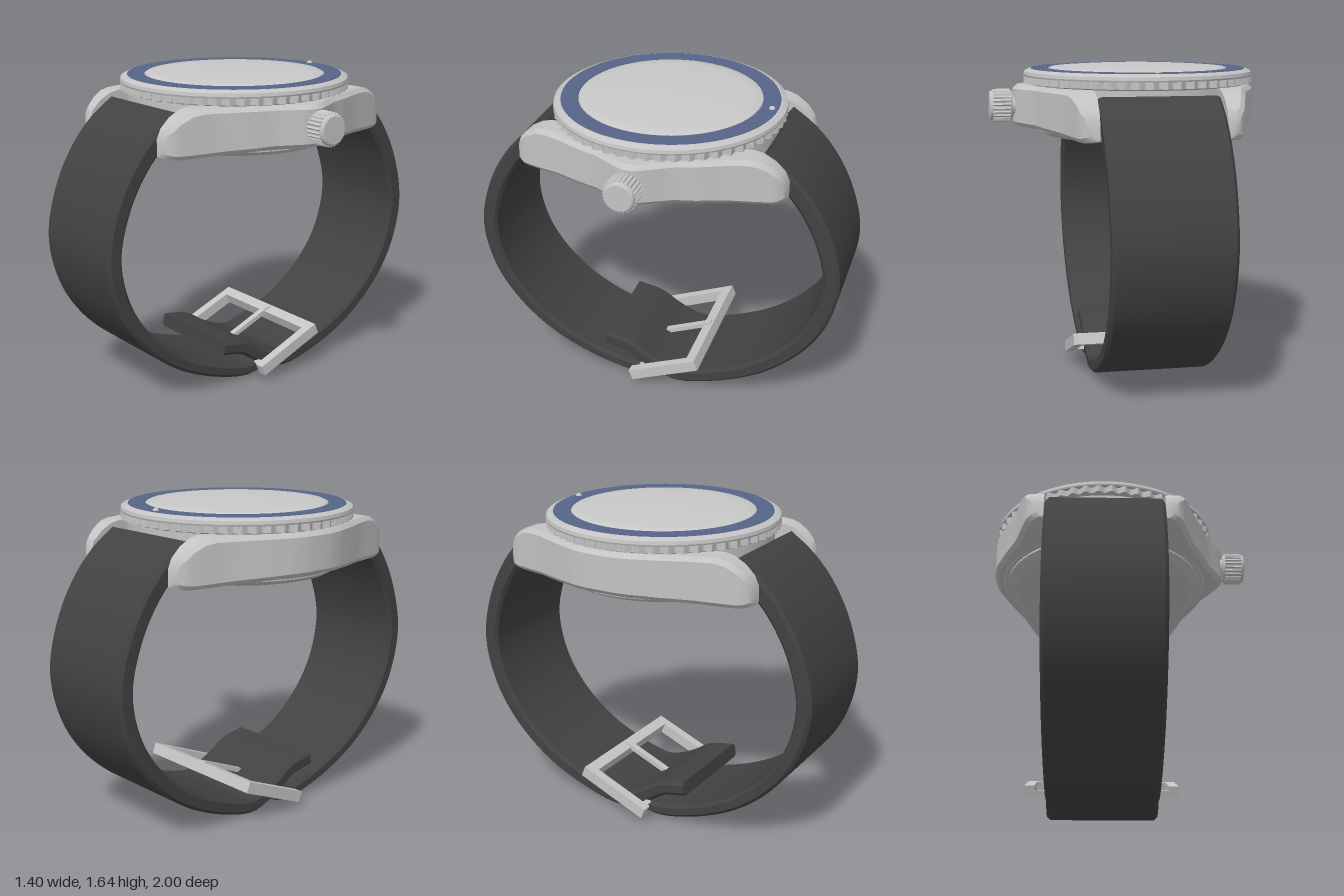
import * as THREE from 'three';
import { toCreasedNormals } from 'three/addons/utils/BufferGeometryUtils.js';

const CX = -0.09; // centre line of the case and strap
const flat = (name, color) => {
  const m = new THREE.MeshStandardMaterial({ color });
  m.name = name;
  return m;
};

// Closed solid through a list of equally sized rings of Vector3
function loft(rings, crease = 0.5) {
  const n = rings[0].length, pos = [], idx = [];
  rings.forEach(r => r.forEach(p => pos.push(p.x, p.y, p.z)));
  for (let i = 0; i < rings.length - 1; i++) {
    for (let j = 0; j < n; j++) {
      const a = i * n + j, b = i * n + (j + 1) % n;
      idx.push(a, b, b + n, a, b + n, a + n);
    }
  }
  const last = (rings.length - 1) * n;
  for (let j = 1; j < n - 1; j++) idx.push(0, j + 1, j, last, last + j, last + j + 1);
  // Turn the faces outward when the solid comes out inverted
  const P = k => new THREE.Vector3().fromArray(pos, k * 3);
  let volume = 0;
  for (let k = 0; k < idx.length; k += 3) volume += P(idx[k]).dot(P(idx[k + 1]).cross(P(idx[k + 2])));
  if (volume < 0) idx.reverse();
  const g = new THREE.BufferGeometry();
  g.setAttribute('position', new THREE.Float32BufferAttribute(pos, 3));
  g.setIndex(idx);
  return toCreasedNormals(g, crease);
}

const lathe = (pts, seg = 96) =>
  toCreasedNormals(new THREE.LatheGeometry(pts.map(p => new THREE.Vector2(...p)), seg), 0.4);

// Smooth interpolation through [position, value] pairs
function along(table, z) {
  let i = 0;
  while (i < table.length - 2 && z > table[i + 1][0]) i++;
  const [a, va] = table[i], [b, vb] = table[i + 1];
  return va + (vb - va) * THREE.MathUtils.clamp((z - a) / (b - a), 0, 1);
}

// Cylinder with a rippled rim
function fluted(radius, height, count, depth) {
  const g = new THREE.CylinderGeometry(radius, radius, height, count * 6, 1);
  const p = g.attributes.position;
  for (let i = 0; i < p.count; i++) {
    const x = p.getX(i), z = p.getZ(i), r = Math.hypot(x, z);
    if (r < 0.001) continue;
    const k = (r - depth * (0.5 - 0.5 * Math.cos(Math.atan2(z, x) * count))) / r;
    p.setX(i, x * k);
    p.setZ(i, z * k);
  }
  return toCreasedNormals(g, 0.6);
}

// One flank of the case with its two lugs
const TOP = [[0, 1.54], [0.53, 1.54], [0.58, 1.53], [0.64, 1.498], [0.69, 1.45], [0.712, 1.40]];
const BOTTOM = [[0, 1.325], [0.2, 1.32], [0.5, 1.305], [0.66, 1.30], [0.712, 1.315]];
const LEFT = [[0, 0.608], [0.08, 0.605], [0.16, 0.588], [0.3, 0.535], [0.45, 0.468], [0.6, 0.425], [0.67, 0.402], [0.7, 0.375], [0.712, 0.35]];
const RIGHT = [[0, 0.668], [0.03, 0.664], [0.06, 0.652], [0.12, 0.617], [0.2, 0.57], ...LEFT.slice(3)];

function flank(outer, side) {
  const half = [0, 0.03, 0.06, 0.09, 0.12, 0.16, 0.2, 0.25, 0.3, 0.38, 0.45, 0.53, 0.58, 0.61, 0.64, 0.67, 0.69, 0.7, 0.712];
  const stations = [...half.slice(1).reverse().map(z => -z), ...half];
  return loft(stations.map(z => {
    const d = Math.abs(z), o = along(outer, d), t = along(TOP, d), b = along(BOTTOM, d), c = 0.022;
    return [[0.312, b], [o - c, b], [o, b + c], [o, t - c], [o - c, t], [0.312, t]]
      .map(([x, y]) => new THREE.Vector3(CX + side * x, y, z));
  }));
}

// Strap strand swept along [z, y] points with softened corners
function strand(points, thickStart, thickEnd, steps) {
  const curve = new THREE.CatmullRomCurve3(points.map(([z, y]) => new THREE.Vector3(0, y, z)));
  const rings = [];
  for (let i = 0; i <= steps; i++) {
    const u = i / steps, p = curve.getPointAt(u), t = curve.getTangentAt(u);
    const w = 0.307 - 0.018 * u, h = (thickStart + (thickEnd - thickStart) * u) / 2, c = 0.016;
    rings.push([[-w, -h + c], [-w + c, -h], [w - c, -h], [w, -h + c], [w, h - c], [w - c, h], [-w + c, h], [-w, h - c]]
      .map(([x, n]) => new THREE.Vector3(CX + x, p.y + n * t.z, p.z - n * t.y)));
  }
  return loft(rings, 0.6);
}

export function createModel() {
  const model = new THREE.Group();
  model.name = 'wristwatch';
  const steel = flat('brushed steel', 0xc4c4c4);
  const glass = flat('pale crystal', 0xc8c8c8);
  const blue = flat('blue inlay', 0x566488);
  const rubber = flat('dark strap', 0x424242);
  const add = (name, geo, mat, x = 0, y = 0, z = 0) => {
    const m = new THREE.Mesh(geo, mat);
    m.name = name;
    m.position.set(x, y, z);
    model.add(m);
    return m;
  };

  // Case
  add('caseLeftFlank', flank(LEFT, -1), steel);
  add('caseRightFlank', flank(RIGHT, 1), steel);
  add('caseBody', lathe([[0, 1.31], [0.55, 1.31], [0.572, 1.33], [0.572, 1.55], [0, 1.55]]), steel, CX);
  add('caseBack', lathe([[0, 1.268], [0.3, 1.27], [0.46, 1.277], [0.475, 1.275], [0.49, 1.275], [0.535, 1.3], [0.535, 1.33]]), steel, CX);

  // Bezel, inlay and crystal
  add('bezelGrip', fluted(0.605, 0.036, 54, 0.022), steel, CX, 1.564);
  add('bezelRing', lathe([[0.57, 1.538], [0.585, 1.546], [0.585, 1.58], [0.603, 1.582], [0.606, 1.59],
    [0.602, 1.607], [0.575, 1.62], [0.46, 1.62]]), steel, CX);
  add('bezelInlay', lathe([[0.568, 1.618], [0.566, 1.623], [0.477, 1.623], [0.475, 1.618]]), blue, CX);
  add('bezelPip', new THREE.SphereGeometry(0.017, 16, 10), steel, CX, 1.62, -0.535);
  const dome = [[0.472, 1.615], [0.472, 1.622]];
  for (let i = 0; i <= 8; i++) {
    const r = 0.466 * (1 - i / 8);
    dome.push([r, 1.643 - 0.018 * (r / 0.466) ** 2]);
  }
  add('crystal', lathe(dome), glass, CX);

  // Crown
  add('crownStem', new THREE.CylinderGeometry(0.055, 0.055, 0.1, 24), steel, 0.56, 1.43).rotation.z = -Math.PI / 2;
  add('crownGrip', fluted(0.087, 0.09, 26, 0.01), steel, 0.637, 1.43).rotation.z = -Math.PI / 2;
  add('crownCap', lathe([[0, -0.06], [0.072, -0.06], [0.08, -0.05], [0.08, 0.045], [0.076, 0.055], [0.068, 0.06], [0, 0.06]], 32),
    steel, 0.64, 1.43).rotation.z = -Math.PI / 2;

  // Strap: the rear strand passes through the buckle and ends in a tail inside
  const arc = [[0.56, 1.475], [0.68, 1.39], [0.79, 1.27], [0.895, 1.08], [0.955, 0.83], [0.91, 0.59],
    [0.80, 0.40], [0.62, 0.23], [0.40, 0.113], [0.14, 0.042]];
  add('frontStrap', strand([...arc, [0.04, 0.053]], 0.095, 0.065, 56), rubber);
  add('rearStrap', strand([...arc.map(([z, y]) => [-z, y]), [-0.05, 0.062], [0.05, 0.108],
    [0.15, 0.172], [0.19, 0.184], [0.292, 0.203]], 0.095, 0.075, 80), rubber);

  // Buckle
  const buckle = new THREE.Group();
  buckle.name = 'buckle';
  buckle.position.set(CX - 0.005, 0.138, -0.083);
  buckle.rotation.x = 0.39;
  const part = (name, w, h, d, x, y, z) => {
    const m = new THREE.Mesh(new THREE.BoxGeometry(w, h, d), steel);
    m.name = name;
    m.position.set(x, y, z);
    buckle.add(m);
  };
  for (const s of [-1, 1]) part('buckleArm', 0.05, 0.06, 0.41, s * 0.368, 0, 0);
  part('buckleBar', 0.70, 0.06, 0.06, 0, 0, -0.175);
  part('bucklePin', 0.70, 0.03, 0.03, 0, -0.01, 0.165);
  part('buckleTongue', 0.035, 0.025, 0.34, 0, 0.025, -0.02);
  model.add(buckle);
  return model;
}
